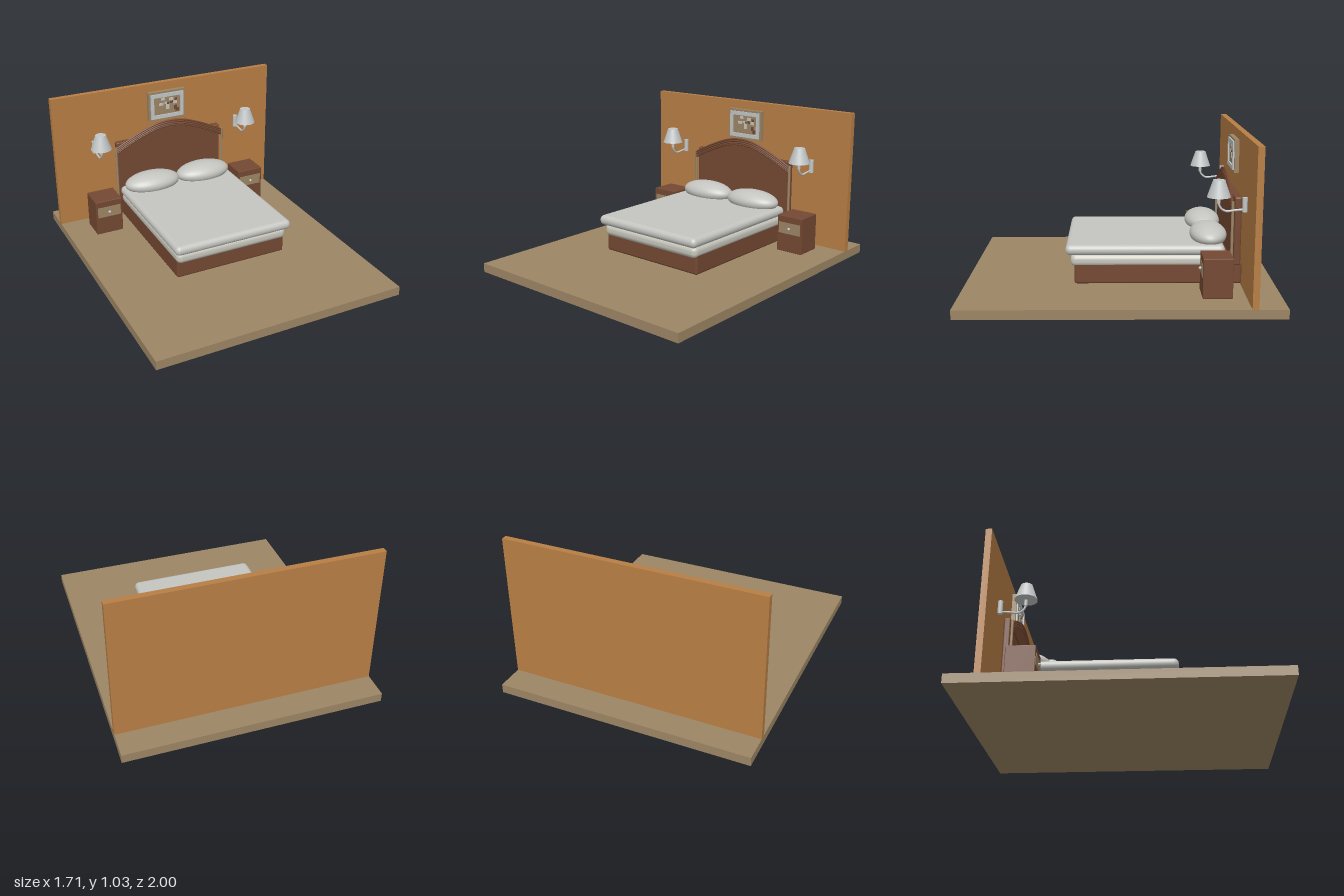
import * as THREE from 'three';
import { RoundedBoxGeometry } from 'three/addons/geometries/RoundedBoxGeometry.js';

const mat = (name, color, extra = {}) => Object.assign(new THREE.MeshStandardMaterial({ color, ...extra }), { name });

export function createModel() {
  const root = new THREE.Group();
  const wallPaint = mat('ochre wall', 0xb87e44);
  const tan = mat('tan', 0x9c8564);
  const wood = mat('red brown wood', 0x744832);
  const linen = mat('linen white', 0xc4c4c0);
  const cream = mat('cream mattress', 0xc6c6bc);
  const lampGrey = mat('lamp grey', 0xc2c6c6);
  const shadeGrey = mat('lampshade grey', 0xc2c6c6, { side: THREE.DoubleSide });

  const add = (name, geo, material, parent = root, x = 0, y = 0, z = 0) => {
    const m = new THREE.Mesh(geo, material);
    m.name = name;
    m.position.set(x, y, z);
    parent.add(m);
    return m;
  };
  // Box given by its limits on each axis; r rounds the edges
  const block = (name, material, [x0, x1], [y0, y1], [z0, z1], r = 0, parent = root) => {
    const s = [x1 - x0, y1 - y0, z1 - z0];
    const geo = r ? new RoundedBoxGeometry(...s, 5, r) : new THREE.BoxGeometry(...s);
    return add(name, geo, material, parent, (x0 + x1) / 2, (y0 + y1) / 2, (z0 + z1) / 2);
  };

  // Room
  block('floor', tan, [-0.855, 0.855], [0, 0.06], [-1, 1]);
  block('wall', wallPaint, [-0.855, 0.855], [0.06, 1.03], [-0.82, -0.78]);

  // Bed
  const bed = new THREE.Group();
  bed.name = 'bed';
  root.add(bed);
  block('bedBase', wood, [-0.4, 0.4], [0.075, 0.215], [-0.78, 0.29], 0.015, bed);
  block('lowerMattress', cream, [-0.405, 0.405], [0.185, 0.268], [-0.7, 0.315], 0.036, bed);
  block('topMattress', linen, [-0.425, 0.425], [0.265, 0.333], [-0.67, 0.347], 0.033, bed);
  for (const s of [-1, 1]) {
    const pillow = add('pillow', new THREE.SphereGeometry(1, 40, 24), linen, bed, s * 0.203, 0.36, -0.58);
    pillow.scale.set(0.207, 0.075, 0.12);
  }

  // Headboard: back panel, arched crest, nested mouldings and side posts
  const headboard = new THREE.Group();
  headboard.name = 'headboard';
  bed.add(headboard);
  block('headboardPanel', wood, [-0.415, 0.415], [0.2, 0.645], [-0.768, -0.722], 0.012, headboard);
  const arch = (drop) => {
    const pts = [[-0.42, 0.615], [-0.3, 0.675], [-0.2, 0.718], [-0.1, 0.75], [0, 0.76],
      [0.1, 0.75], [0.2, 0.718], [0.3, 0.675], [0.42, 0.615]];
    return new THREE.CatmullRomCurve3(pts.map(([x, y]) => new THREE.Vector3(x, y - drop, 0)));
  };
  const crest = new THREE.Shape([
    new THREE.Vector2(-0.42, 0.572),
    new THREE.Vector2(0.42, 0.572),
    ...arch(0.004).getPoints(40).reverse().map((p) => new THREE.Vector2(p.x, p.y)),
  ]);
  add('headboardCrest', new THREE.ExtrudeGeometry(crest, { depth: 0.01, bevelEnabled: false }), wood, headboard, 0, 0, -0.715);
  for (const drop of [0.004, 0.018, 0.032, 0.043]) {
    add('archMoulding', new THREE.TubeGeometry(arch(drop), 48, 0.007, 8), wood, headboard, 0, 0, -0.706);
  }
  for (const s of [-1, 1]) {
    add('headboardPost', new THREE.CylinderGeometry(0.009, 0.009, 0.43, 16), tan, headboard, s * 0.425, 0.403, -0.708);
  }

  // Nightstands and wall lamps, one on each side
  const armPath = new THREE.CatmullRomCurve3([
    [0.7, -0.6], [0.64, -0.6], [0.61, -0.615], [0.592, -0.645], [0.597, -0.7], [0.602, -0.755],
  ].map(([y, z]) => new THREE.Vector3(0, y, z)));
  for (const s of [-1, 1]) {
    const stand = new THREE.Group();
    stand.name = 'nightstand';
    stand.position.x = s * 0.572;
    root.add(stand);
    block('cabinet', wood, [-0.098, 0.098], [0.064, 0.319], [-0.69, -0.505], 0.004, stand);
    block('drawerFront', tan, [-0.085, 0.085], [0.195, 0.273], [-0.507, -0.502], 0, stand);
    add('knob', new THREE.SphereGeometry(0.01, 16, 12), lampGrey, stand, 0, 0.233, -0.496);

    const lamp = new THREE.Group();
    lamp.name = 'wallLamp';
    lamp.position.x = s * 0.57;
    root.add(lamp);
    add('wallMount', new THREE.CylinderGeometry(0.016, 0.016, 0.09, 20), lampGrey, lamp, 0, 0.632, -0.76);
    add('lampArm', new THREE.TubeGeometry(armPath, 40, 0.007, 10), lampGrey, lamp);
    add('lampSocket', new THREE.CylinderGeometry(0.011, 0.011, 0.06, 16), lampGrey, lamp, 0, 0.67, -0.6);
    add('lampshade', new THREE.CylinderGeometry(0.037, 0.073, 0.105, 32), shadeGrey, lamp, 0, 0.733, -0.6);
  }

  // Framed abstract picture
  const picture = new THREE.Group();
  picture.name = 'picture';
  picture.position.set(0, 0.861, -0.78);
  root.add(picture);
  const rect = (C, w, h) => new C([[-w, -h], [w, -h], [w, h], [-w, h]].map(([x, y]) => new THREE.Vector2(x, y)));
  const ring = (name, material, w, h, iw, ih, depth) => {
    const shape = rect(THREE.Shape, w, h);
    shape.holes.push(rect(THREE.Path, iw, ih));
    add(name, new THREE.ExtrudeGeometry(shape, { depth, bevelEnabled: false }), material, picture);
  };
  ring('pictureFrame', tan, 0.144, 0.109, 0.129, 0.094, 0.03);
  ring('pictureMat', lampGrey, 0.129, 0.094, 0.104, 0.067, 0.04);
  block('canvas', tan, [-0.106, 0.106], [-0.07, 0.07], [0, 0.03], 0, picture);
  // x, y, width, height of the painted patches
  const patches = {
    lightPatch: [linen, [[-0.03, 0.05, 0.03, 0.02], [-0.045, 0.012, 0.035, 0.02], [0.005, -0.012, 0.025, 0.04],
      [0.035, 0.042, 0.035, 0.024], [0.065, 0.015, 0.03, 0.022], [-0.01, 0.018, 0.02, 0.016]]],
    darkPatch: [wood, [[0.035, 0.02, 0.024, 0.018], [0.008, 0.014, 0.014, 0.014], [0.068, -0.025, 0.022, 0.03],
      [0.082, -0.045, 0.026, 0.026], [0.07, 0.038, 0.02, 0.018]]],
  };
  for (const [name, [material, list]] of Object.entries(patches)) {
    for (const [x, y, w, h] of list) {
      block(name, material, [x - w / 2, x + w / 2], [y - h / 2, y + h / 2], [0.029, 0.033], 0, picture);
    }
  }
  return root;
}
